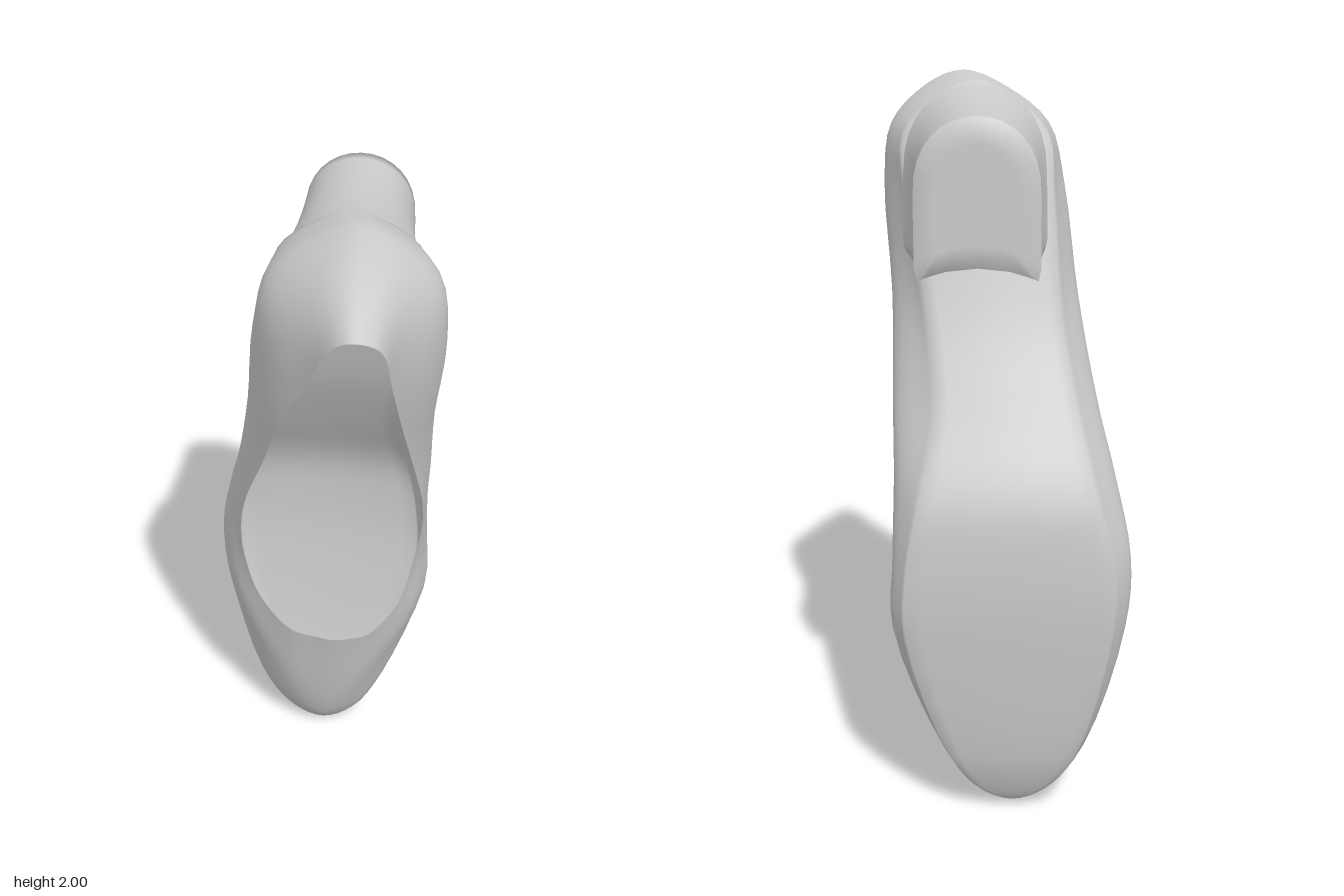
import * as THREE from 'three';
import { mergeVertices } from 'three/addons/utils/BufferGeometryUtils.js';

// Stations run from the back of the heel to the toe: [x on right side, x on left side, y, z]
const RIM = [
  [.12, .12, 1.885, .48], [.07, .18, 1.855, .455], [0, .207, 1.7, .365], [-.075, .23, 1.53, .26],
  [-.145, .265, 1.3, .115], [-.21, .29, 1.1, -.01], [-.245, .285, .92, -.115], [-.245, .265, .78, -.155],
  [-.2, .225, .62, -.155], [-.1, .14, .525, -.115], [-.02, .08, .51, -.105], [.03, .03, .505, -.1],
];
const UPPER = [
  [.11, .11, 1.965, .31], [.03, .2, 1.93, .3], [-.08, .275, 1.8, .25], [-.13, .3, 1.62, .18],
  [-.18, .295, 1.37, .05], [-.235, .297, 1.13, -.09], [-.285, .295, .95, -.2], [-.305, .29, .76, -.235],
  [-.275, .275, .56, -.225], [-.14, .12, .25, -.2], [-.065, .045, .12, -.215], [-.01, -.01, .085, -.22],
];
const MIDDLE = [
  [.11, .11, 2, .12], [0, .215, 1.96, .12], [-.12, .31, 1.86, .12], [-.165, .33, 1.7, .08],
  [-.2, .305, 1.42, -.05], [-.25, .298, 1.15, -.2], [-.295, .295, .97, -.3], [-.335, .3, .77, -.37],
  [-.325, .305, .57, -.37], [-.225, .18, .2, -.31], [-.125, .085, .05, -.3], [-.02, -.02, 0, -.3],
];
const SOLE = [
  [.08, .08, 1.985, -.01], [-.01, .17, 1.95, -.02], [-.115, .265, 1.85, -.06], [-.13, .255, 1.68, -.12],
  [-.15, .2, 1.38, -.22], [-.19, .18, 1.16, -.33], [-.24, .225, .95, -.44], [-.285, .26, .77, -.46],
  [-.28, .265, .57, -.455], [-.19, .15, .19, -.41], [-.105, .065, .065, -.37], [-.02, -.02, .02, -.345],
];
const COLUMNS = 88, WALL_ROWS = 18, SOLE_ROWS = 6;

// Closed smooth loop through the stations: down the left side, back up the right
function loop(rows) {
  const left = rows.map(([, x, y, z]) => new THREE.Vector3(x, y, z));
  const right = rows.slice(1, -1).reverse().map(([x, , y, z]) => new THREE.Vector3(x, y, z));
  return new THREE.CatmullRomCurve3([...left, ...right], true);
}

// Smooth surface over a grid of points given by point(i, j); faces look along i x j
function grid(nu, nv, point) {
  const pos = [], index = [];
  for (let j = 0; j <= nv; j++) {
    for (let i = 0; i <= nu; i++) {
      pos.push(...point(i, j).toArray());
      if (i === nu || j === nv) continue;
      const a = j * (nu + 1) + i, b = a + nu + 1;
      index.push(a, a + 1, b, a + 1, b + 1, b);
    }
  }
  let geo = new THREE.BufferGeometry();
  geo.setAttribute('position', new THREE.Float32BufferAttribute(pos, 3));
  geo.setIndex(index);
  geo = mergeVertices(geo, 1e-5);
  geo.computeVertexNormals();
  return geo;
}

export function createModel() {
  const group = new THREE.Group();
  const material = new THREE.MeshStandardMaterial({ color: 0xcccccc, side: THREE.DoubleSide });
  const add = (name, geo) => {
    const mesh = new THREE.Mesh(geo, material);
    mesh.name = name;
    group.add(mesh);
  };

  // Upper and sole in one skin: from the opening's rim round to the sole edge,
  // then across the slightly bellied sole to its centre line
  const loops = [RIM, UPPER, MIDDLE, SOLE].map(loop);
  const edge = loops[3];
  const ribs = [];
  for (let i = 0; i <= COLUMNS; i++) {
    const t = (i % COLUMNS) / COLUMNS;
    ribs.push(new THREE.CatmullRomCurve3(loops.map((l) => l.getPoint(t))));
  }
  add('upperAndSole', grid(COLUMNS, WALL_ROWS + SOLE_ROWS, (i, j) => {
    if (j <= WALL_ROWS) return ribs[i].getPoint(j / WALL_ROWS);
    const t = (i % COLUMNS) / COLUMNS, s = (j - WALL_ROWS) / SOLE_ROWS / 2;
    const p = edge.getPoint(t).lerp(edge.getPoint((1 - t) % 1), s);
    p.z -= 0.013 * Math.sin(Math.PI * s) * Math.abs(Math.sin(Math.PI * 2 * t));
    return p;
  }));

  // Heel block: D-shaped section with a hollowed breast, flaring where it meets the sole
  const outline = [[1, 0], [1, -.3], [1, -.6], [1, -.85], [.96, -1], [.8, -.95], [.5, -.88], [0, -.84]];
  outline.push(...outline.slice(0, -1).reverse().map(([x, y]) => [-x, y]));
  for (let k = 1; k <= 16; k++) {
    const a = Math.PI * (1 - k / 16);
    outline.push([Math.cos(a), Math.pow(Math.sin(a), 0.8)]);
  }
  const steps = 12, capSteps = 3;
  add('heel', grid(outline.length - 1, steps + capSteps, (i, j) => {
    const v = Math.min(j / steps, 1), flare = (1 - v) ** 2.5;
    const inset = Math.max(0, (j - steps) / capSteps);
    const [ox, oy] = outline[i].map((c) => c * (1 - inset));
    const x = 0.068 + 0.01 * flare + ox * (0.155 + 0.035 * flare);
    const y = 1.745 + oy * (oy > 0 ? 0.195 + 0.035 * flare : 0.2 - 0.015 * flare);
    const top = THREE.MathUtils.mapLinear(y, 1.55, 1.97, -0.172, -0.012);
    return new THREE.Vector3(x, y, THREE.MathUtils.lerp(top, -0.475, v));
  }));

  return group;
}
